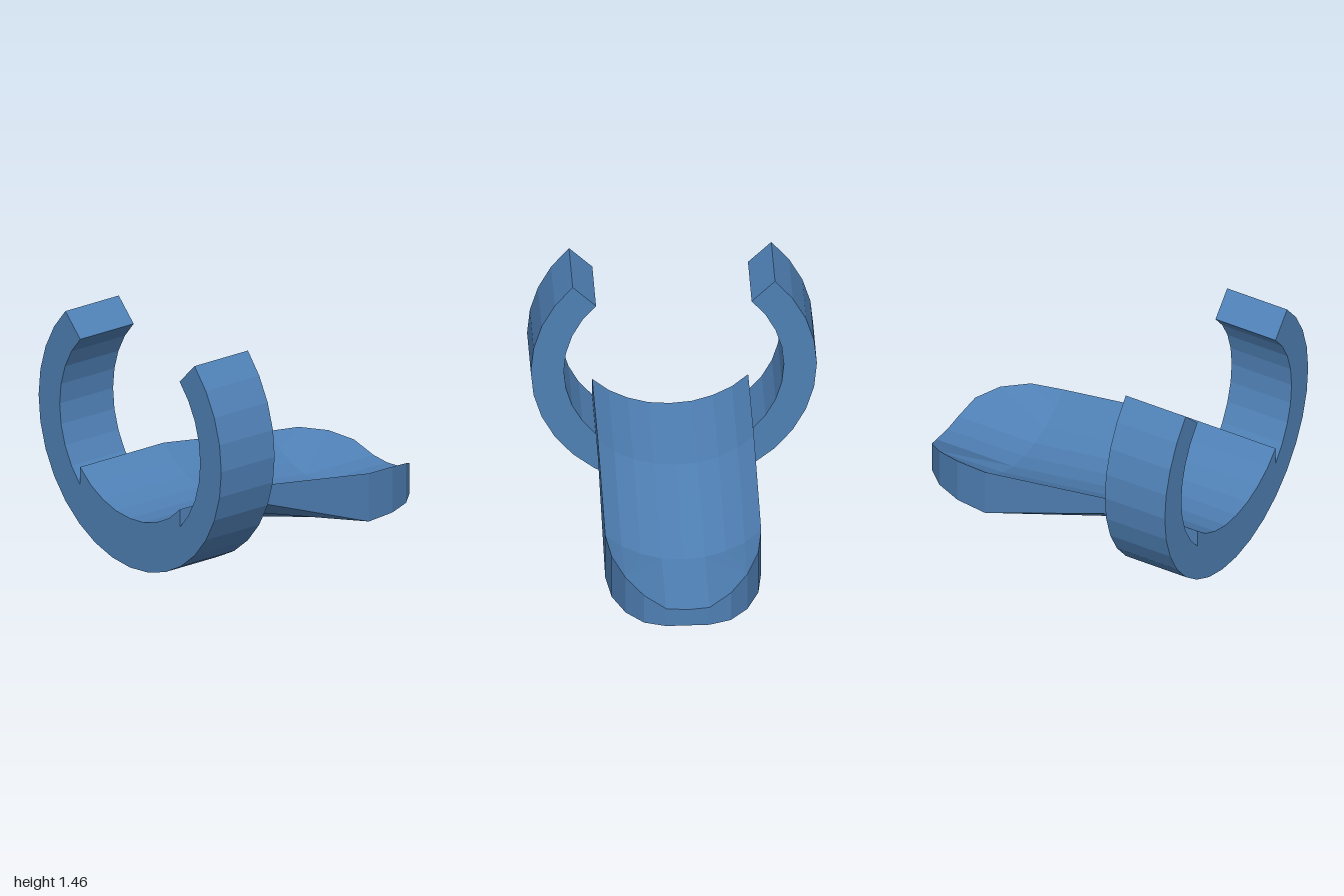
import * as THREE from 'three';

const material = new THREE.MeshStandardMaterial({ color: 0x4f80b5, flatShading: true });

// Open C-shaped clip: 270 degrees in 24 facets, extruded along x
function makeClip() {
  const arc = (r, i) => {
    const a = -Math.PI * 1.25 + (i / 24) * Math.PI * 1.5;
    return new THREE.Vector2(r * Math.cos(a), r * Math.sin(a));
  };
  const points = [];
  for (let i = 0; i <= 24; i++) points.push(arc(0.858, i));
  for (let i = 24; i >= 0; i--) points.push(arc(0.66, i));
  const geometry = new THREE.ExtrudeGeometry(new THREE.Shape(points), { depth: 0.415, bevelEnabled: false });
  geometry.rotateY(Math.PI / 2).translate(-1, 0.861, 0);
  const mesh = new THREE.Mesh(geometry, material);
  mesh.name = 'clipRing';
  return mesh;
}

// Curved tongue with a rounded, flat-bottomed tip; one half is built and mirrored in z
function makeTongue() {
  const positions = [];
  const face = (...p) => {
    for (let i = 1; i < p.length - 1; i++) {
      const tri = [p[0], p[i], p[i + 1]];
      tri.forEach((v) => positions.push(...v));
      tri.reverse().forEach((v) => positions.push(v[0], v[1], -v[2]));
    }
  };

  // Cross-section from the centre line to the edge, [z, y]
  const arc = [[0, 0.317], [0.13, 0.328], [0.255, 0.366], [0.37, 0.426], [0.468, 0.51]];
  const stations = [
    { x: -1, lift: 0, bottom: (y) => y - 0.119 },
    { x: -0.35, lift: 0, bottom: (y) => y - 0.119 },
    { x: 0.47, lift: -0.122, bottom: () => 0.08 },
  ].map(({ x, lift, bottom }) => ({
    top: arc.map(([z, y]) => [x, y + lift, z]),
    under: arc.map(([z, y]) => [x, bottom(y), z]),
  }));

  // Body: top, underside and outer edge
  for (let s = 0; s < 2; s++) {
    const a = stations[s], b = stations[s + 1];
    for (let i = 0; i < 4; i++) {
      face(a.top[i], a.top[i + 1], b.top[i + 1], b.top[i]);
      face(a.under[i], b.under[i], b.under[i + 1], a.under[i + 1]);
    }
    face(a.under[4], b.under[4], b.top[4], a.top[4]);
  }

  // Back end cap
  const { top, under } = stations[0];
  for (let i = 0; i < 4; i++) face(under[i], under[i + 1], top[i + 1], top[i]);

  // Rounded tip: rim, wall, flat bottom and top facets
  const [E, D, C, B, A] = stations[2].top;
  const rim = [A, [0.675, 0.373, 0.44], [0.845, 0.333, 0.365], [0.957, 0.277, 0.26], [1, 0.206, 0.13], [1, 0.195, 0]];
  const base = rim.map(([x, , z]) => [x, 0.08, z]);
  for (let i = 0; i < 5; i++) {
    face(base[i], base[i + 1], rim[i + 1], rim[i]);
    face([0.47, 0.08, 0], base[i + 1], base[i]);
  }
  const [, p1, p2, p3, p4, p5] = rim;
  face(A, p1, B);
  face(B, p1, p2);
  face(C, B, p2);
  face(D, C, p2);
  face(D, p2, p3);
  face(D, p3, p4);
  face(D, p4, p5, E);

  const geometry = new THREE.BufferGeometry();
  geometry.setAttribute('position', new THREE.Float32BufferAttribute(positions, 3));
  geometry.computeVertexNormals();
  const mesh = new THREE.Mesh(geometry, material);
  mesh.name = 'tongue';
  return mesh;
}

export function createModel() {
  const group = new THREE.Group();
  group.name = 'clipWithTongue';
  group.add(makeClip(), makeTongue());
  return group;
}
